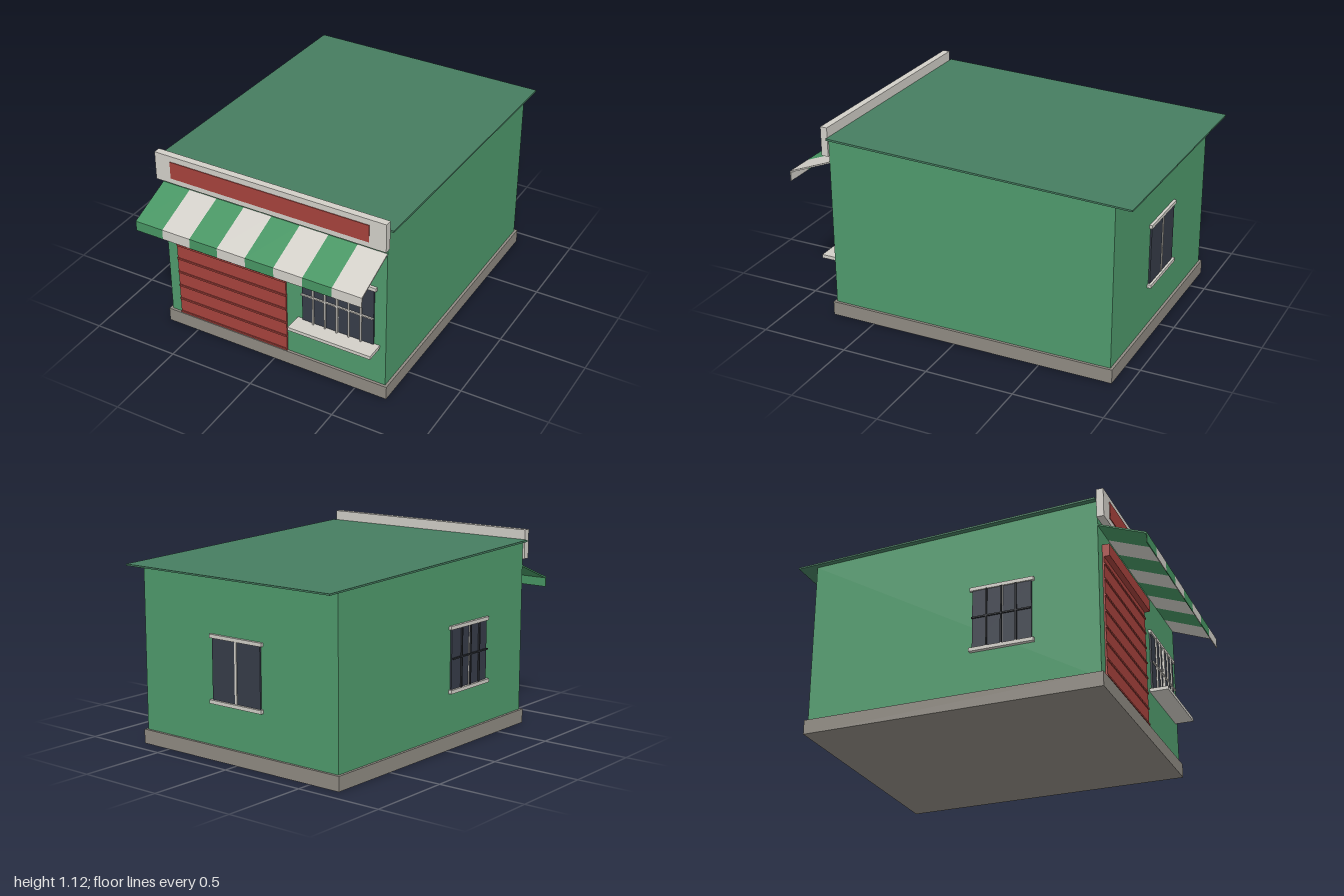
import * as THREE from 'three';

const mat = (name, color) => {
  const m = new THREE.MeshStandardMaterial({ color });
  m.name = name;
  return m;
};

export function createModel() {
  const model = new THREE.Group();
  model.name = 'shop';
  const wall = mat('wall green', 0x4f9a6c);
  const roofGreen = mat('roof green', 0x467d60);
  const awningGreen = mat('awning green', 0x479563);
  const pale = mat('pale trim', 0xd2cfc8);
  const red = mat('shutter red', 0xa6423c);
  const stone = mat('plinth stone', 0x8f8a82);
  const glass = mat('window glass', 0x363c48);
  const iron = mat('dark iron', 0x2a2d33);

  // box given by its minimum and maximum on each axis
  const box = (name, material, [x0, x1], [y0, y1], [z0, z1], parent = model) => {
    const mesh = new THREE.Mesh(new THREE.BoxGeometry(x1 - x0, y1 - y0, z1 - z0), material);
    mesh.position.set((x0 + x1) / 2, (y0 + y1) / 2, (z0 + z1) / 2);
    mesh.name = name;
    parent.add(mesh);
    return mesh;
  };

  // side profile of (z, y) points, extruded from x0 to x1
  const profile = (name, material, points, x0, x1, parent = model) => {
    const shape = new THREE.Shape(points.map(([z, y]) => new THREE.Vector2(z, y)));
    const geo = new THREE.ExtrudeGeometry(shape, { depth: x1 - x0, bevelEnabled: false });
    geo.rotateY(-Math.PI / 2).translate(x1, 0, 0);
    const mesh = new THREE.Mesh(geo, material);
    mesh.name = name;
    parent.add(mesh);
  };

  // Building shell with a roof falling to the back
  box('plinth', stone, [-0.688, 0.688], [0, 0.08], [-0.915, 0.755]);
  profile('walls', wall, [[0.74, 0.05], [0.74, 1.054], [-0.9, 0.999], [-0.9, 0.05]], -0.673, 0.673);
  profile('roof', roofGreen, [[0.738, 1.054], [0.738, 1.065], [-1, 1.005], [-1, 0.996]], -0.703, 0.703);

  // Sign board
  box('signBoard', pale, [-0.685, 0.685], [0.955, 1.12], [0.74, 0.78]);
  box('signPanel', red, [-0.59, 0.59], [0.987, 1.087], [0.779, 0.784]);

  // Striped awning with a hanging valance
  const awning = new THREE.Group();
  awning.name = 'awning';
  model.add(awning);
  const stripe = 1.344 / 8;
  for (let i = 0; i < 8; i++) {
    const x = -0.672 + i * stripe;
    profile('awningStripe', i % 2 ? pale : awningGreen, [
      [0.74, 0.912], [0.74, 0.92], [1, 0.818], [1, 0.76], [0.995, 0.76], [0.995, 0.811],
    ], x, x + stripe, awning);
  }

  // Roller shutter with slat ridges and a housing above
  const shutter = new THREE.Group();
  shutter.name = 'shutter';
  model.add(shutter);
  box('shutterPanel', red, [-0.608, 0.08], [0.08, 0.77], [0.735, 0.749], shutter);
  for (let i = 0; i < 8; i++) {
    const y = 0.085 + i * 0.09;
    box('shutterSlat', red, [-0.608, 0.08], [y, y + 0.01], [0.745, 0.755], shutter);
  }
  box('shutterHousing', red, [-0.608, 0.08], [0.76, 0.83], [0.74, 0.78], shutter);

  // Window facing +z in its own frame, wall surface at z = 0
  const windowUnit = (name, o) => {
    const g = new THREE.Group();
    g.name = name;
    const w = o.width / 2;
    const top = o.top;
    box('glass', glass, [-w, w], [0.33, top], [-0.005, 0.009], g);
    box('mullion', pale, [-0.007, 0.007], [0.33, top], [0, 0.013], g);
    box('lintel', pale, [-w - 0.014, w + 0.014], [top, top + 0.02], [-0.005, 0.016], g);
    box('sill', pale, [-w - o.overhang, w + o.overhang], [0.31, 0.33], [-0.005, o.sill], g);
    // security bars
    for (let i = 1; i < o.bays; i++) {
      const x = -w + (i * o.width) / o.bays;
      box('bar', o.bar, [x - 0.004, x + 0.004], [0.33, top], [0.013, 0.022], g);
    }
    if (o.bays) box('crossBar', o.bar, [-w, w], [0.497, 0.505], [0.013, 0.022], g);
    model.add(g);
    return g;
  };

  windowUnit('frontWindow', { width: 0.425, top: 0.675, overhang: 0.033, sill: 0.105, bays: 6, bar: pale })
    .position.set(0.392, 0, 0.74);

  const sideWindow = windowUnit('sideWindow', { width: 0.33, top: 0.66, overhang: 0.014, sill: 0.022, bays: 4, bar: iron });
  sideWindow.position.set(-0.673, 0, 0.21);
  sideWindow.rotation.y = -Math.PI / 2;

  const backWindow = windowUnit('backWindow', { width: 0.335, top: 0.66, overhang: 0.014, sill: 0.022, bays: 0 });
  backWindow.position.set(0, 0, -0.9);
  backWindow.rotation.y = Math.PI;

  return model;
}
